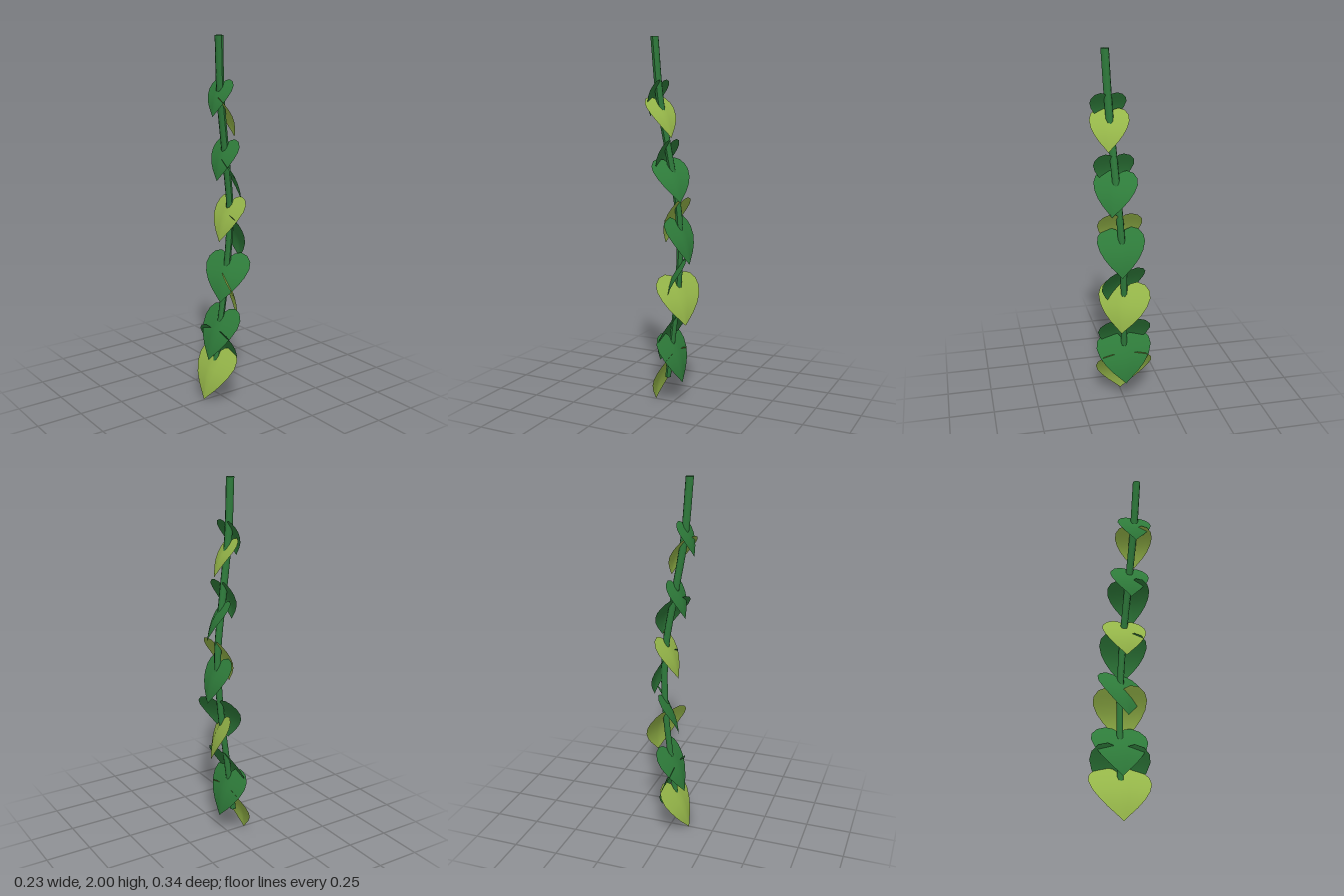
import * as THREE from 'three';

const mat = (name, color, side) => new THREE.MeshStandardMaterial({ name, color, side });

// Stem centre line, points evenly spaced in height from 0.14 to 2
const Y0 = 0.14, Y1 = 2;
const STEM_X = [-0.035, 0.005, 0.04, 0.045, 0, -0.047, -0.068];
const STEM_Z = [-0.005, -0.002, 0.008, 0.027, 0.048, 0.068, 0.083];
const path = new THREE.CatmullRomCurve3(
  STEM_X.map((x, i) => new THREE.Vector3(x, Y0 + (Y1 - Y0) * i / 6, STEM_Z[i])), false, 'catmullrom', 0.5);
const stemAt = y => path.getPoint(THREE.MathUtils.clamp((y - Y0) / (Y1 - Y0), 0, 1));

// Right half of a heart outline: [half-width, height relative to the notch]; the tip is at -1
const HEART = [[0, 0], [0.2, 0.13], [0.45, 0.18], [0.75, 0.13], [0.95, 0], [1, -0.16],
  [0.9, -0.36], [0.71, -0.55], [0.46, -0.73], [0.2, -0.88], [0, -1]];
const FOLD = 0.13, DROOP = 0.08, COLS = 8;

// Heart leaf: x across, y along, ridge towards +z; sides fold back and the blade droops along its length
function leafGeometry(half, length) {
  const pos = [], index = [];
  HEART.forEach(([u, v], i) => {
    const rib = Math.min(0, v);
    for (let j = 0; j <= COLS; j++) {
      const k = 2 * j / COLS - 1;
      const x = u * k, y = rib + (v - rib) * Math.abs(k);
      const z = -FOLD * Math.abs(x) * half - DROOP * Math.sin(Math.PI * y) * length;
      pos.push(x * half, y * length, z);
      if (i && j) {
        const d = i * (COLS + 1) + j, c = d - 1, b = d - COLS - 1, e = b - 1;
        index.push(e, c, b, b, c, d);
      }
    }
  });
  const g = new THREE.BufferGeometry();
  g.setAttribute('position', new THREE.Float32BufferAttribute(pos, 3));
  g.setIndex(index);
  g.computeVertexNormals();
  return g;
}

// Notch height, tip x, tip y, half-width, yaw towards +z in degrees, light or not
const LEAVES = [
  [1.755, -0.10, 1.59, 0.097, 0, 0],
  [1.665, 0.03, 1.48, 0.105, 15, 1],
  [1.44, -0.06, 1.25, 0.11, 0, 0],
  [1.34, 0.08, 1.14, 0.12, 25, 0],
  [1.125, -0.03, 0.91, 0.123, 0, 1],
  [1.025, 0.11, 0.80, 0.13, 5, 0],
  [0.80, -0.03, 0.57, 0.138, 22, 0],
  [0.70, 0.09, 0.46, 0.147, 25, 1],
  [0.485, -0.08, 0.23, 0.15, 0, 0],
  [0.37, 0.055, 0.12, 0.158, 0, 0],
  [0.26, -0.11, 0, 0.163, 0, 1],
];

export function createModel() {
  const model = new THREE.Group();
  model.name = 'hangingVine';
  const stemMat = mat('stemGreen', 0x2e7a3b);
  const darkMat = mat('leafGreen', 0x2f7d3b, THREE.DoubleSide);
  const lightMat = mat('youngLeafGreen', 0x97b84a, THREE.DoubleSide);

  // Stem: tapered cylinder bent along the centre line
  const g = new THREE.CylinderGeometry(0.022, 0.017, Y1 - Y0, 8, 24);
  g.translate(0, (Y0 + Y1) / 2, 0);
  const p = g.attributes.position;
  for (let i = 0; i < p.count; i++) {
    const c = stemAt(p.getY(i));
    p.setX(i, p.getX(i) + c.x);
    p.setZ(i, p.getZ(i) + c.z);
  }
  g.computeVertexNormals();
  const stem = new THREE.Mesh(g, stemMat);
  stem.name = 'stem';
  model.add(stem);

  // Leaves alternate between the two sides of the stem
  LEAVES.forEach(([notchY, tipX, tipY, half, yaw, light], i) => {
    const side = i % 2 ? 1 : -1;
    const a = THREE.MathUtils.degToRad(yaw);
    const out = new THREE.Vector3(side * Math.cos(a), 0, Math.sin(a));
    const notch = stemAt(notchY).setY(notchY).addScaledVector(out, -0.006);
    const reach = Math.abs(tipX - notch.x) / Math.cos(a);
    const tip = notch.clone().addScaledVector(out, reach).setY(tipY);

    const along = notch.clone().sub(tip);
    const length = along.length();
    along.normalize();
    const across = new THREE.Vector3().crossVectors(along, out).normalize();
    const face = new THREE.Vector3().crossVectors(across, along);

    const leaf = new THREE.Mesh(leafGeometry(half, length), light ? lightMat : darkMat);
    leaf.name = 'leaf' + (i + 1);
    leaf.quaternion.setFromRotationMatrix(new THREE.Matrix4().makeBasis(across, along, face));
    leaf.position.copy(notch);
    model.add(leaf);
  });
  return model;
}
